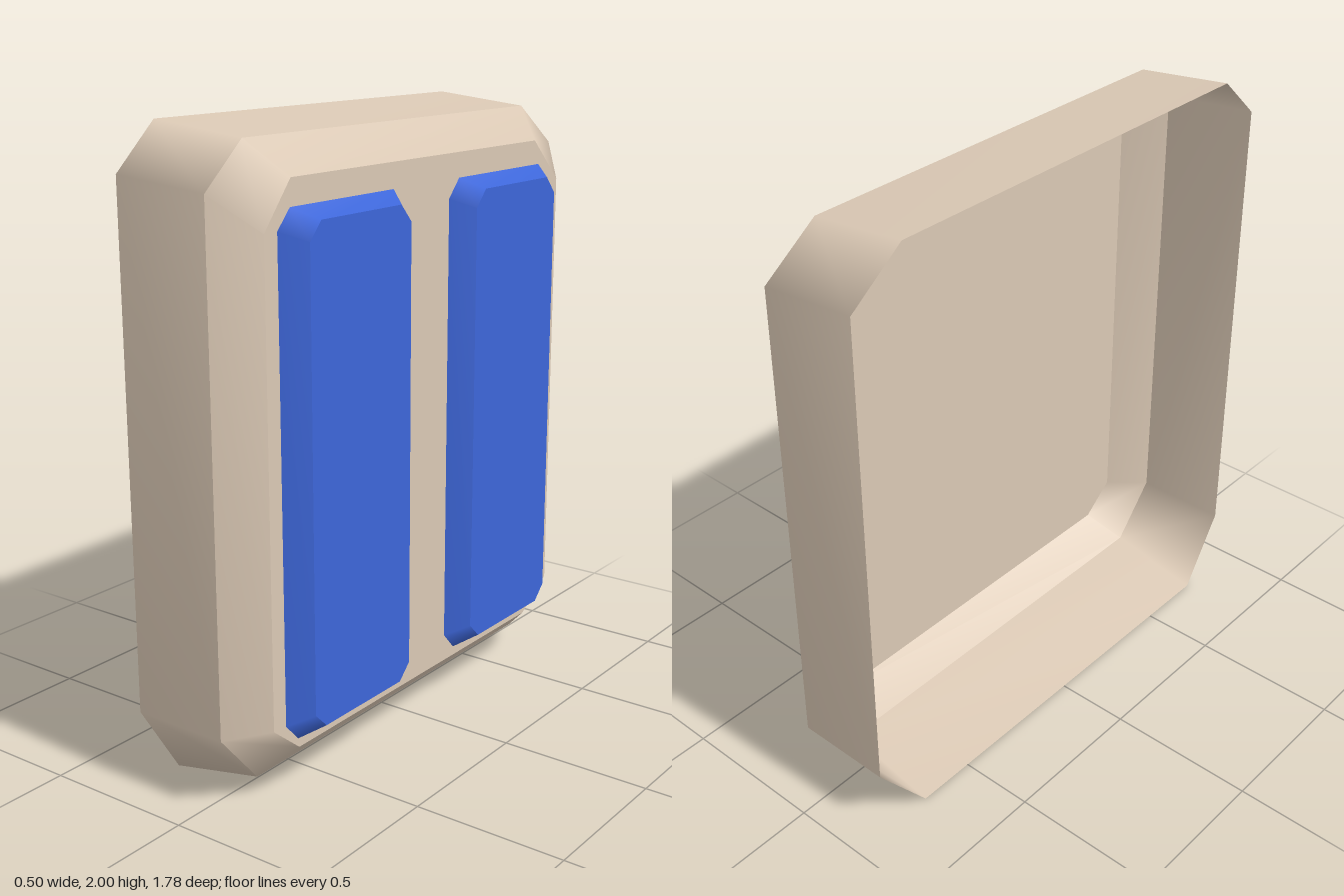
import * as THREE from 'three';
import { mergeGeometries } from 'three/addons/utils/BufferGeometryUtils.js';

// Octagonal ring at depth x; counter-clockwise seen from +x.
// z0..z1, y0..y1 are the extents; a0..a1 and b0..b1 the ends of the straight runs.
function ring(x, [z0, z1, a0, a1], [y0, y1, b0, b1]) {
  return [
    [z0, b0], [z0, b1], [a0, y1], [a1, y1],
    [z1, b1], [z1, b0], [a1, y0], [a0, y0],
  ].map(([z, y]) => [x, y, z]);
}

function surface(points, index) {
  const g = new THREE.BufferGeometry();
  g.setAttribute('position', new THREE.Float32BufferAttribute(points.flat(), 3));
  g.setIndex(index);
  g.computeVertexNormals();
  return g;
}

// Bands are smooth around the outline, with hard edges between bands and cap
function shell(rings) {
  const n = 8, parts = [];
  for (let r = 0; r < rings.length - 1; r++) {
    const index = [];
    for (let i = 0; i < n; i++) {
      const j = (i + 1) % n;
      index.push(i, j, n + j, i, n + j, n + i);
    }
    parts.push(surface([...rings[r], ...rings[r + 1]], index));
  }
  const cap = [];
  for (let i = 1; i < n - 1; i++) cap.push(0, i, i + 1);
  parts.push(surface(rings[rings.length - 1], cap));
  return mergeGeometries(parts);
}

export function createModel() {
  const group = new THREE.Group();
  const add = (name, rings, color) => {
    const material = new THREE.MeshStandardMaterial({ color, side: THREE.DoubleSide });
    const mesh = new THREE.Mesh(shell(rings), material);
    mesh.name = name;
    group.add(mesh);
  };

  // Hollow housing, open towards -x
  const side = [-0.89, 0.89, -0.7, 0.735];
  add('housing', [
    ring(-0.25, side, [0, 2, 0.245, 1.86]),
    ring(0.075, side, [0.065, 1.965, 0.245, 1.83]),
    ring(0.18, [-0.77, 0.775, -0.62, 0.66], [0.165, 1.86, 0.26, 1.72]),
  ], 0xdac8b4);

  // Two raised bevelled panels
  for (const [name, z0, z1] of [['leftPanel', 0.135, 0.72], ['rightPanel', -0.695, -0.11]]) {
    const z = (inset) => [z0 + inset, z1 - inset, z0 + inset + 0.05, z1 - inset - 0.055];
    add(name, [
      ring(0.18, z(0), [0.195, 1.78, 0.255, 1.72]),
      ring(0.245, [z0 + 0.05, z1 - 0.06, z0 + 0.1, z1 - 0.11], [0.235, 1.745, 0.285, 1.69]),
    ], 0x3d66d8);
  }
  return group;
}
